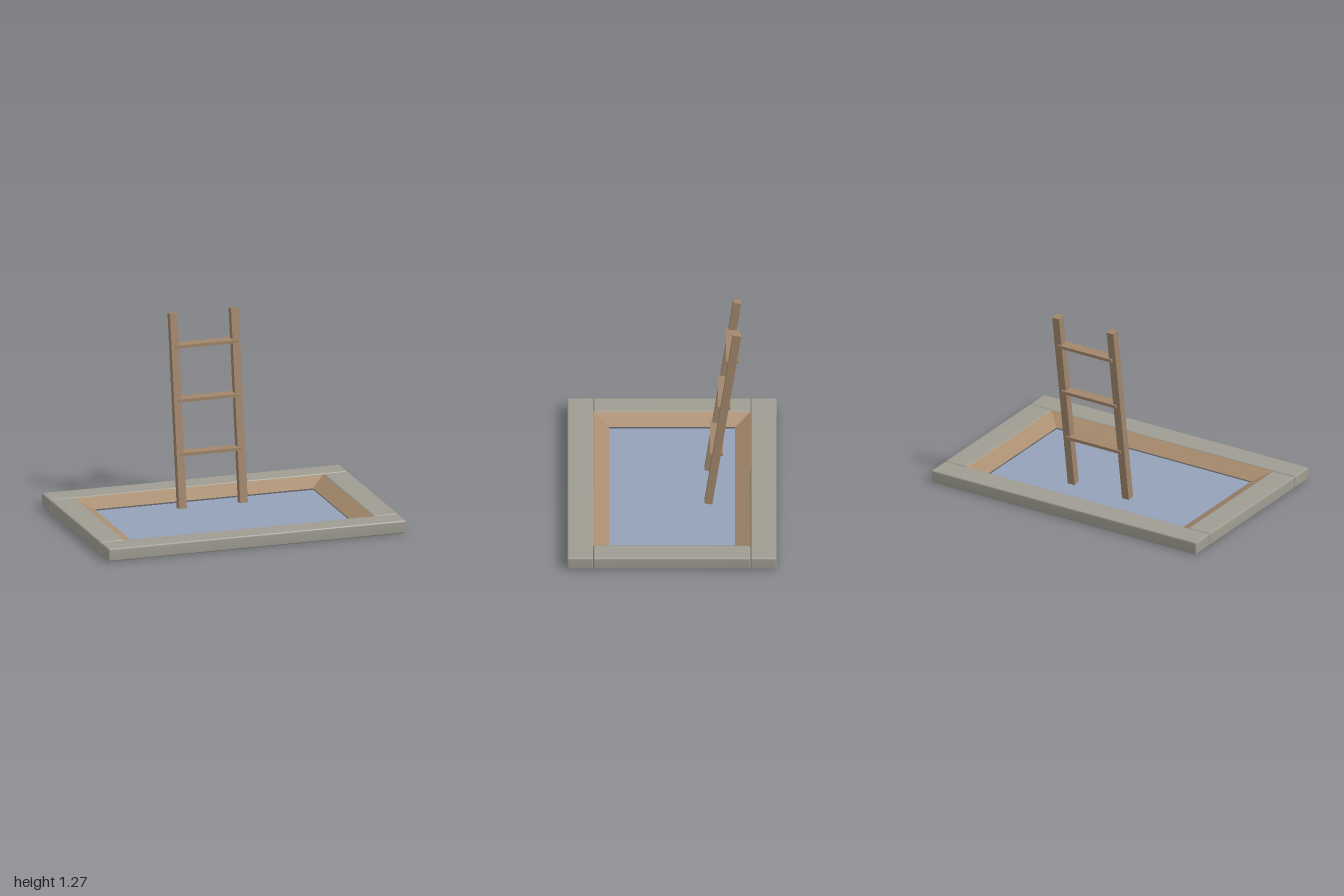
import * as THREE from 'three';
import { mergeVertices } from 'three/addons/utils/BufferGeometryUtils.js';
import { RoundedBoxGeometry } from 'three/addons/geometries/RoundedBoxGeometry.js';

const mat = (name, color, side = THREE.FrontSide) => {
  const m = new THREE.MeshStandardMaterial({ color, side });
  m.name = name;
  return m;
};

export function createModel() {
  const stone = mat('stone', 0x9f9d92);
  const earth = mat('earthWall', 0xa88c6e, THREE.DoubleSide);
  const wood = mat('wood', 0xa0866b);
  const water = mat('water', 0x95a1b8, THREE.DoubleSide);

  const group = new THREE.Group();
  group.name = 'poolWithLadder';
  const add = (parent, name, geometry, material, x = 0, y = 0, z = 0) => {
    const mesh = new THREE.Mesh(geometry, material);
    mesh.name = name;
    mesh.position.set(x, y, z);
    parent.add(mesh);
    return mesh;
  };

  // Bevelled kerb slabs with soft shading
  const H = 0.085;
  const slab = (w, d) => {
    const g = new RoundedBoxGeometry(w, H, d, 1, 0.01);
    g.deleteAttribute('normal');
    g.deleteAttribute('uv');
    const welded = mergeVertices(g, 1e-4);
    welded.computeVertexNormals();
    return welded;
  };
  const kerb = new THREE.Group();
  kerb.name = 'kerb';
  group.add(kerb);
  for (const s of [1, -1]) {
    add(kerb, s > 0 ? 'frontSlab' : 'backSlab', slab(2, 0.165), stone, 0, H / 2, s * 0.5835);
    add(kerb, s > 0 ? 'leftSlab' : 'rightSlab', slab(0.165, 1.0), stone, s * 0.9175, H / 2, 0);
  }

  // Sloping basin walls, wide at the top and narrow at the bottom
  const ring = (x, y, z) => [[-x, y, -z], [x, y, -z], [x, y, z], [-x, y, z]];
  const top = ring(0.836, 0.08, 0.501);
  const bottom = ring(0.735, 0.024, 0.4);
  const names = ['backWall', 'leftWall', 'frontWall', 'rightWall'];
  names.forEach((name, i) => {
    const j = (i + 1) % 4;
    const g = new THREE.BufferGeometry();
    const corners = [bottom[i], bottom[j], top[j], top[i]].flat();
    g.setAttribute('position', new THREE.Float32BufferAttribute(corners, 3));
    g.setIndex([0, 1, 2, 0, 2, 3]);
    g.computeVertexNormals();
    add(group, name, g, earth);
  });

  // Water surface just below the walls
  const surface = new THREE.PlaneGeometry(1.47, 0.8).rotateX(-Math.PI / 2);
  add(group, 'water', surface, water, 0, 0.015, 0);

  // Ladder leaning to the back, with level rungs
  const ladder = new THREE.Group();
  ladder.name = 'ladder';
  group.add(ladder);
  const lean = 0.148, y0 = 0.03, y1 = 1.271;
  const zAt = (y) => -0.415 + lean * (y1 - y);
  const midY = (y0 + y1) / 2;
  const length = (y1 - y0) * Math.hypot(1, lean);
  for (const s of [1, -1]) {
    const rail = add(ladder, s > 0 ? 'leftRail' : 'rightRail',
      new THREE.BoxGeometry(0.051, length, 0.051), wood, s * 0.205, midY, zAt(midY));
    rail.rotation.x = -Math.atan(lean);
  }
  for (const y of [0.38, 0.722, 1.065]) {
    add(ladder, 'rung', new THREE.BoxGeometry(0.41, 0.02, 0.08), wood, 0, y, zAt(y));
  }
  return group;
}
